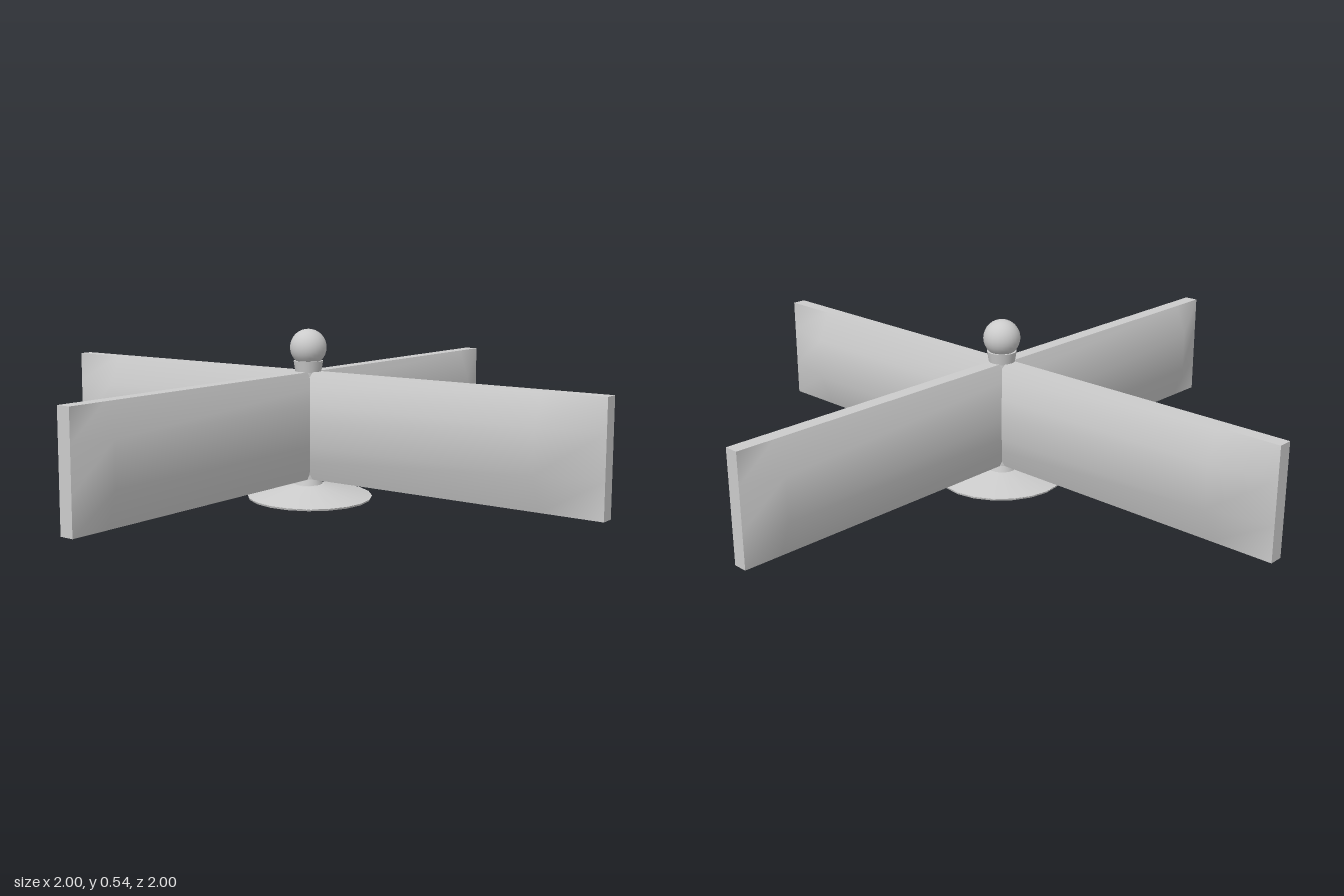
import * as THREE from 'three';

const material = new THREE.MeshStandardMaterial({ color: 0xcccccc, side: THREE.DoubleSide });

function add(group, name, geometry) {
  const mesh = new THREE.Mesh(geometry, material);
  mesh.name = name;
  group.add(mesh);
  return mesh;
}

// Long paddle: thin edges all round, with a swollen middle on both sides
function bladeGeometry(bulgeBack, bulgeFront, shoulder) {
  const bottom = 0.07, top = 0.405, edge = 0.022;
  const xs = [-1, -shoulder, shoulder, 1];
  const ys = [bottom, 0.18, 0.31, top];
  const geometry = new THREE.BoxGeometry(3, 3, 2, 3, 3, 1);
  const p = geometry.attributes.position;
  for (let i = 0; i < p.count; i++) {
    const column = Math.round(p.getX(i) + 1.5);
    const row = Math.round(p.getY(i) + 1.5);
    const front = p.getZ(i) > 0;
    const inner = column % 3 !== 0 && row % 3 !== 0;
    const depth = inner ? (front ? bulgeFront : bulgeBack) : edge;
    p.setXYZ(i, xs[column], ys[row], front ? depth : -depth);
  }
  geometry.computeVertexNormals();
  return geometry;
}

export function createModel() {
  const model = new THREE.Group();
  model.name = 'fourBladedRotor';

  // Two crossed paddles make the four blades
  add(model, 'sideBlades', bladeGeometry(0.064, 0.064, 0.81));
  const lengthwise = add(model, 'frontBackBlades', bladeGeometry(0.06, 0.056, 0.88));
  lengthwise.rotation.y = Math.PI / 2;

  // Central spindle
  const spindle = add(model, 'spindle', new THREE.CylinderGeometry(0.04, 0.04, 0.435, 20));
  spindle.position.y = 0.2175;

  // Flared collar under the knob
  const collar = add(model, 'collar', new THREE.CylinderGeometry(0.046, 0.04, 0.035, 20));
  collar.position.y = 0.42;

  // Round knob
  const knob = add(model, 'knob', new THREE.SphereGeometry(0.057, 24, 16));
  knob.position.y = 0.479;

  // Shallow conical foot, very slightly tilted
  const foot = new THREE.Group();
  foot.name = 'foot';
  add(foot, 'footCone', new THREE.CylinderGeometry(0.045, 0.195, 0.036, 20));
  const rim = add(foot, 'footRim', new THREE.CylinderGeometry(0.195, 0.193, 0.006, 20));
  rim.position.y = -0.02;
  foot.position.set(0.01, 0.034, 0.006);
  foot.rotation.set(0.016, 0, -0.02);
  model.add(foot);

  // Small ring where the spindle meets the foot
  const ring = add(model, 'footRing', new THREE.CylinderGeometry(0.04, 0.046, 0.022, 20));
  ring.position.y = 0.06;

  return model;
}
